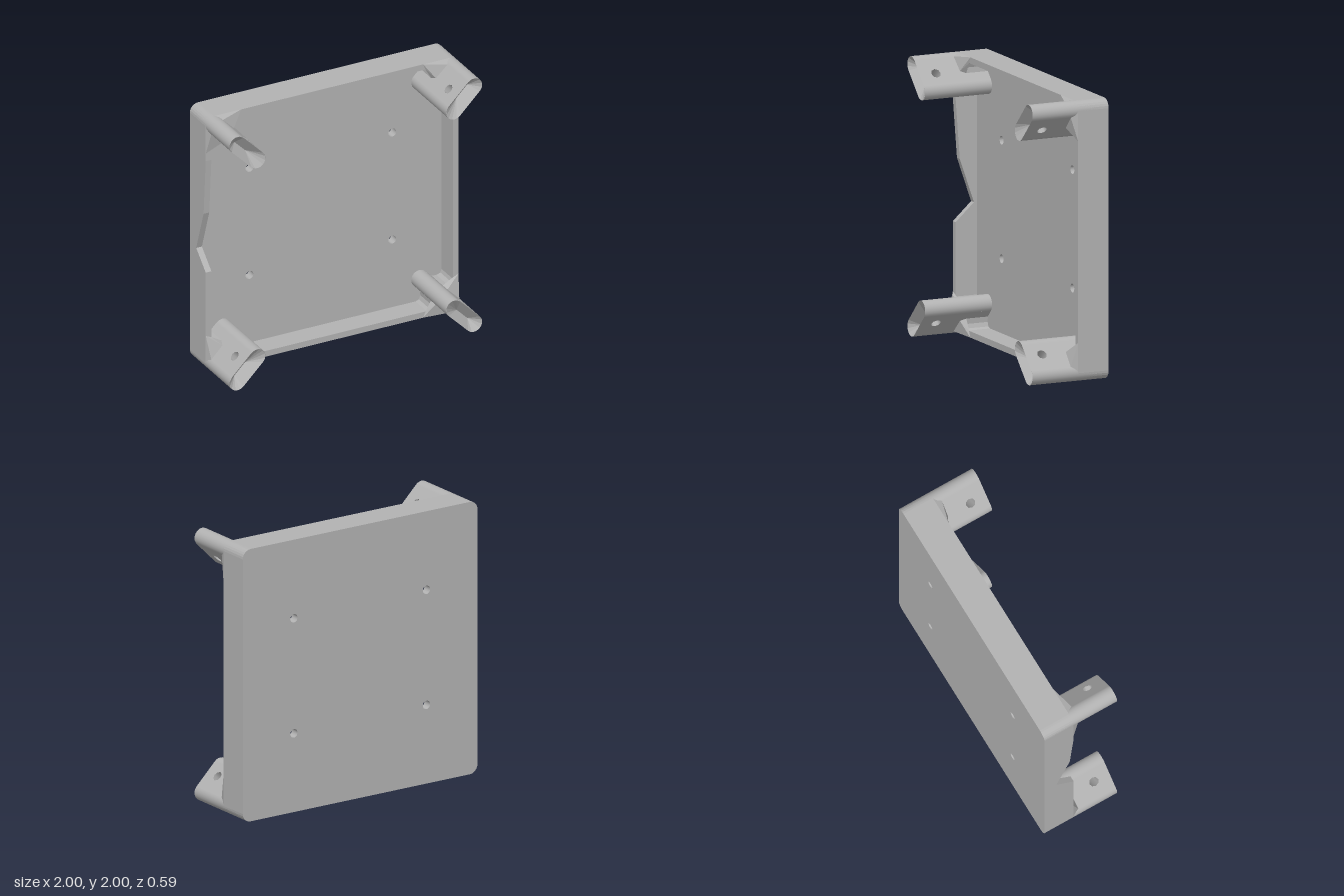
import * as THREE from 'three';
import { ConvexGeometry } from 'three/addons/geometries/ConvexGeometry.js';

const BACK = -0.295, FLOOR = -0.225, RIM = -0.058, FRONT = 0.295;
const R = 0.065;                 // leg half thickness and outer corner radius
const INNER = 0.78;              // diagonal position of the inner leg end
const LEN = 0.155 * Math.SQRT2;  // leg length between its two round ends

// Points of a rounded square, counterclockwise from the lower left corner
function roundedSquare(r = R, steps = 6) {
  const pts = [];
  [[-1, -1], [1, -1], [1, 1], [-1, 1]].forEach(([sx, sy], c) => {
    for (let i = 0; i <= steps; i++) {
      const a = Math.PI + (c + i / steps) * Math.PI / 2;
      pts.push(new THREE.Vector2(sx * (1 - r) + r * Math.cos(a), sy * (1 - r) + r * Math.sin(a)));
    }
  });
  return pts;
}

function extrude(shape, depth) {
  return new THREE.ExtrudeGeometry(shape, { depth, bevelEnabled: false, curveSegments: 16 });
}

export function createModel() {
  const grey = new THREE.MeshStandardMaterial({ color: 0xb2b2b2, side: THREE.DoubleSide });
  grey.name = 'plainGrey';
  const model = new THREE.Group();
  model.name = 'mountingTray';
  const body = new THREE.Group();
  body.name = 'body';
  body.position.y = 1;
  model.add(body);
  const add = (name, geometry, parent = body) => {
    const mesh = new THREE.Mesh(geometry, grey);
    mesh.name = name;
    parent.add(mesh);
    return mesh;
  };

  // Back plate with four screw holes
  const plate = new THREE.Shape(roundedSquare());
  for (const x of [-0.565, 0.565]) for (const y of [-0.4225, 0.4225]) {
    const hole = new THREE.Path();
    hole.absarc(x, y, 0.031, 0, Math.PI * 2, true);
    plate.holes.push(hole);
  }
  add('backPlate', extrude(plate, FLOOR - BACK)).position.z = BACK;

  // Rim around the tray, open along the damaged wall, bulging in at the legs
  const corner = [[0.75, 0.955], [0.775, 0.945], [0.787, 0.915], [0.784, 0.876], [0.734, 0.826]];
  const quarter = [...corner, ...corner.map(([a, b]) => [b, a]).reverse()];
  const turn = (sx, sy) => {
    const pts = quarter.map(([x, y]) => new THREE.Vector2(x * sx, y * sy));
    return sx * sy > 0 ? pts : pts.reverse();
  };
  const rim = new THREE.Shape([
    new THREE.Vector2(-1, -0.75), ...roundedSquare(), new THREE.Vector2(-1, 0.75),
    ...turn(-1, 1), ...turn(1, 1), ...turn(1, -1), ...turn(-1, -1),
  ]);
  add('rim', extrude(rim, RIM - FLOOR)).position.z = FLOOR;

  // Damaged wall with a ragged notch, profile drawn in (z, y)
  const wall = new THREE.Shape([
    [FLOOR, -0.75], [RIM, -0.75], [RIM, -0.22], [-0.2, -0.09], [-0.09, 0.23],
    [RIM, 0.66], [RIM, 0.75], [FLOOR, 0.75],
  ].map(([z, y]) => new THREE.Vector2(z, y)));
  const wallGeometry = extrude(wall, 0.045);
  wallGeometry.rotateY(-Math.PI / 2);   // z becomes -x, x becomes z
  add('notchedWall', wallGeometry).position.x = -0.955;

  // Leg side with a cross hole, in (along the leg, z)
  const holeU = 0.093, holeZ = 0.17, holeR = 0.036;
  const cheek = new THREE.Shape([[0, FLOOR], [LEN, FLOOR], [LEN, FRONT], [0, FRONT]]
    .map(([u, z]) => new THREE.Vector2(u, z)));
  const pin = new THREE.Path();
  for (let i = 0; i < 8; i++) {
    const a = -i * Math.PI / 4;
    const p = [holeU + holeR * Math.cos(a), holeZ + holeR * Math.sin(a)];
    if (i) pin.lineTo(...p); else pin.moveTo(...p);
  }
  pin.closePath();
  cheek.holes.push(pin);
  const cheekGeometry = new THREE.ShapeGeometry(cheek).rotateX(Math.PI / 2);
  // Opposite side: mirrored, with the winding reversed to face outwards
  const cheekFar = cheekGeometry.clone();
  const order = cheekFar.index.array;
  for (let i = 0; i < order.length; i += 3) [order[i], order[i + 1]] = [order[i + 1], order[i]];
  cheekFar.computeVertexNormals();

  const roundEnd = (start) => new THREE.CylinderGeometry(R, R, FRONT - FLOOR, 12, 1, true, start, Math.PI)
    .rotateX(Math.PI / 2).translate(0, 0, (FRONT + FLOOR) / 2);
  const outerEnd = roundEnd(0), innerEnd = roundEnd(Math.PI);
  const bore = new THREE.CylinderGeometry(holeR, holeR, 2 * R, 8, 1, true).rotateY(Math.PI / 2);

  // Leg tip sinking to a short keel line
  const ring = [], keel = [];
  for (const side of [0, 1]) for (let i = 0; i <= 6; i++) {
    const a = -Math.PI / 2 + (side + i / 6) * Math.PI;
    ring.push([(side ? 0 : LEN) + R * Math.cos(a), R * Math.sin(a), FRONT]);
    keel.push([side ? 0.08 : 0.2, 0, FRONT - 0.075]);
  }
  const faces = [];
  ring.forEach((p, i) => {
    const j = (i + 1) % ring.length;
    faces.push(...p, ...ring[j], ...keel[i]);
    if (keel[i][0] !== keel[j][0]) faces.push(...ring[j], ...keel[j], ...keel[i]);
  });
  const tip = new THREE.BufferGeometry();
  tip.setAttribute('position', new THREE.Float32BufferAttribute(faces, 3));
  tip.computeVertexNormals();

  // Sloped web joining the rim to a leg
  const web = [[0.72, 1, RIM], [0.74, 0.955, RIM], [0.93, 1, RIM], [0.784, 0.876, RIM],
    [0.889, 0.981, -0.01], [0.8, 0.89, -0.015]];

  // Four diagonal corner legs, each with two webs
  for (const sx of [-1, 1]) for (const sy of [-1, 1]) {
    const leg = new THREE.Group();
    leg.name = (sy > 0 ? 'upper' : 'lower') + (sx > 0 ? 'Left' : 'Right') + 'Leg';
    leg.position.set(INNER * sx, INNER * sy, 0);
    leg.rotation.z = Math.atan2(sy, sx);
    body.add(leg);
    add('legSide', cheekGeometry, leg).position.y = -R;
    add('legSide', cheekFar, leg).position.y = R;
    add('legOuterEnd', outerEnd, leg).position.x = LEN;
    add('legInnerEnd', innerEnd, leg);
    add('pinHole', bore, leg).position.set(holeU, 0, holeZ);
    add('legTip', tip, leg);
    for (const swap of [false, true]) {
      add('legWeb', new ConvexGeometry(web.map(([a, b, z]) => swap
        ? new THREE.Vector3(b * sx, a * sy, z) : new THREE.Vector3(a * sx, b * sy, z))));
    }
  }
  return model;
}
